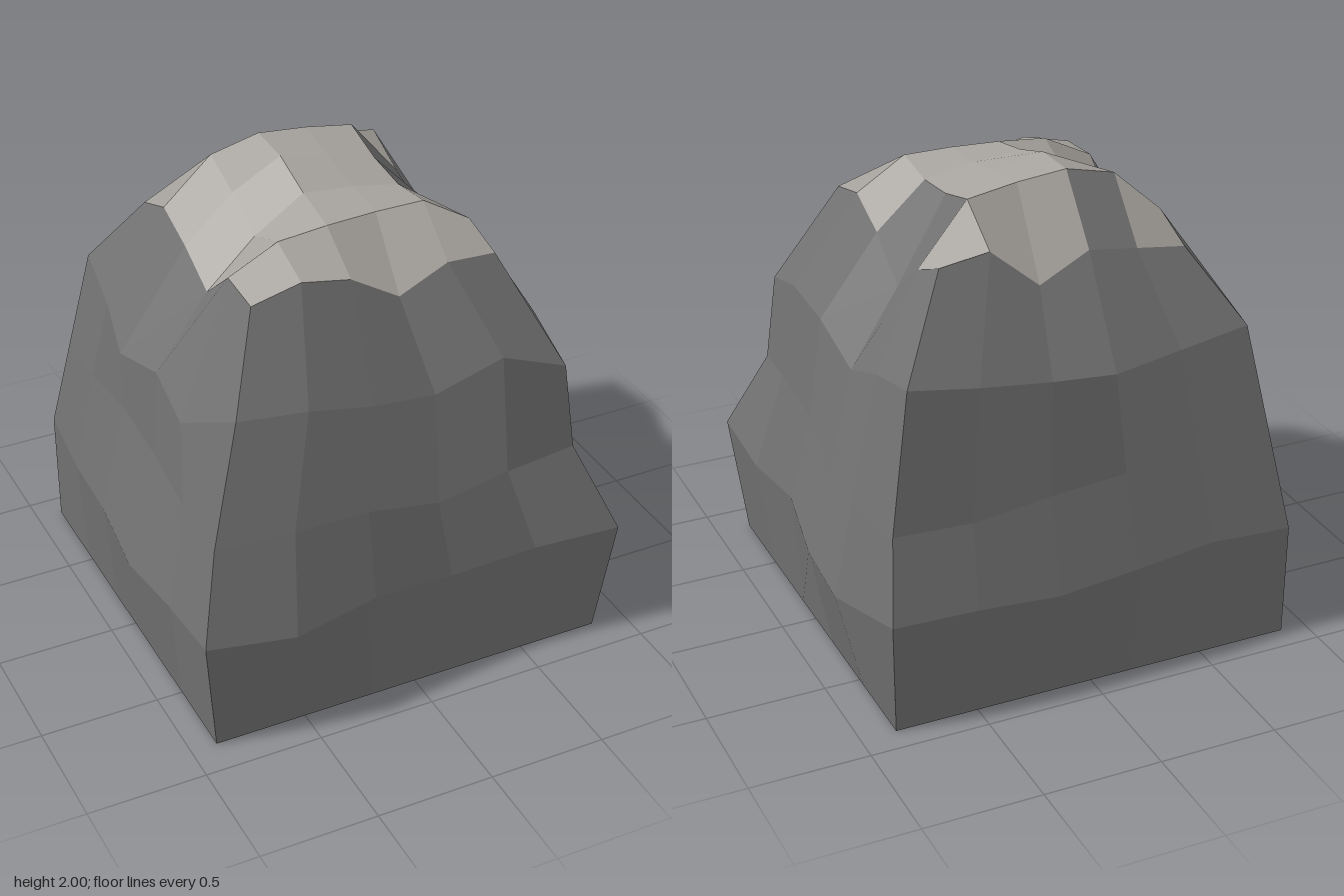
import * as THREE from 'three';

const SEG = 5;

// Each ring lists its outward distances (six per side) and heights (five per side),
// going front, +x, back, -x, anticlockwise from above.
const RINGS = [
  {
    out: [Array(6).fill(0.85), Array(6).fill(0.85), Array(6).fill(0.89), Array(6).fill(0.89)],
    y: Array(4).fill([0, 0, 0, 0, 0]),
  },
  {
    out: [[0.89, 0.935, 0.88, 0.83, 0.86, 0.9], [0.91, 0.905, 0.88, 0.94, 0.965, 0.87],
      [0.93, 0.945, 0.94, 0.93, 0.9, 0.9], [0.89, 0.92, 0.94, 0.97, 0.94, 0.94]],
    y: [[0.52, 0.49, 0.52, 0.47, 0.51], [0.52, 0.48, 0.51, 0.46, 0.46],
      [0.5, 0.5, 0.47, 0.5, 0.52], [0.5, 0.48, 0.5, 0.46, 0.48]],
  },
  {
    out: [[0.79, 0.83, 0.82, 0.8, 0.78, 0.75], [0.76, 0.8, 0.8, 0.84, 0.87, 0.83],
      [0.85, 0.86, 0.86, 0.85, 0.83, 0.82], [0.82, 0.84, 0.83, 0.83, 0.84, 0.85]],
    y: [[0.9, 0.91, 0.9, 0.83, 0.87], [0.88, 0.94, 0.9, 0.82, 0.86],
      [0.85, 0.84, 0.88, 0.9, 0.9], [0.92, 0.95, 0.98, 0.95, 0.9]],
  },
  {
    out: [[0.68, 0.72, 0.7, 0.68, 0.71, 0.72], [0.72, 0.74, 0.74, 0.73, 0.74, 0.74],
      [0.8, 0.8, 0.815, 0.77, 0.74, 0.74], [0.74, 0.77, 0.83, 0.79, 0.81, 0.7]],
    y: [[1.38, 1.37, 1.3, 1.26, 1.37], [1.26, 1.35, 1.33, 1.24, 1.36],
      [1.43, 1.38, 1.35, 1.3, 1.33], [1.38, 1.3, 1.24, 1.3, 1.24]],
  },
];

// Heights of the crown grid: rows from back to front, columns from -x to +x.
const CROWN = [
  [1.68, 1.71, 1.74, 1.63, 1.81, 1.78],
  [1.76, 1.95, 2.0, 1.98, 1.945, 1.69],
  [1.69, 1.88, 1.995, 1.95, 1.89, 1.53],
  [1.59, 1.79, 1.93, 1.91, 1.87, 1.68],
  [1.765, 1.87, 1.89, 1.9, 1.9, 1.77],
  [1.75, 1.8, 1.76, 1.63, 1.73, 1.72],
];
const crownPoint = (row, col) => [-0.55 + col * 0.21, CROWN[row][col], -0.55 + row * 0.21];

// Crown cells of bare dark stone, as row and column
const BARE_CELLS = ['0,1', '1,4', '2,4'];

// Turns one ring description into twenty points.
function ringPoints({ out, y }) {
  const points = [];
  for (let side = 0; side < 4; side++) {
    const start = -out[(side + 3) % 4][SEG];
    const end = out[(side + 1) % 4][0];
    for (let i = 0; i < SEG; i++) {
      const a = start + (end - start) * i / SEG;
      const d = out[side][i];
      const h = y[side][i];
      points.push([[a, h, d], [d, h, -a], [-a, h, -d], [-d, h, a]][side]);
    }
  }
  return points;
}

// Crown border in the same order as the rings.
function crownBorder() {
  const points = [];
  for (let side = 0; side < 4; side++) {
    for (let i = 0; i < SEG; i++) {
      const [row, col] = [[SEG, i], [SEG - i, SEG], [0, SEG - i], [i, 0]][side];
      points.push(crownPoint(row, col));
    }
  }
  return points;
}

// Each quad is one facet: both of its triangles share the normal across the diagonals.
function meshFromQuads(name, quads, material) {
  const positions = [];
  const normals = [];
  for (const quad of quads) {
    const [a, b, c, d] = quad.map((p) => new THREE.Vector3(...p));
    const normal = c.clone().sub(a).cross(d.clone().sub(b)).normalize();
    for (const p of [a, b, c, a, c, d]) {
      positions.push(...p.toArray());
      normals.push(...normal.toArray());
    }
  }
  const geometry = new THREE.BufferGeometry();
  geometry.setAttribute('position', new THREE.Float32BufferAttribute(positions, 3));
  geometry.setAttribute('normal', new THREE.Float32BufferAttribute(normals, 3));
  const mesh = new THREE.Mesh(geometry, material);
  mesh.name = name;
  return mesh;
}

export function createModel() {
  const stone = (name, color) => Object.assign(
    new THREE.MeshStandardMaterial({ color, side: THREE.DoubleSide }), { name });
  const darkStone = stone('dark stone', 0x737272);
  const paleStone = stone('pale stone', 0xa8a49f);

  // Rock sides, open underneath
  const rings = [...RINGS.map(ringPoints), crownBorder()];
  const sides = [];
  for (let r = 0; r < rings.length - 1; r++) {
    const [low, high] = [rings[r], rings[r + 1]];
    low.forEach((p, i) => {
      const next = (i + 1) % low.length;
      sides.push([p, low[next], high[next], high[i]]);
    });
  }

  // Crown cells, pale except for the steep bare ones
  const crown = [];
  const bare = [];
  for (let row = 0; row < SEG; row++) {
    for (let col = 0; col < SEG; col++) {
      (BARE_CELLS.includes(`${row},${col}`) ? bare : crown).push([
        crownPoint(row, col), crownPoint(row + 1, col),
        crownPoint(row + 1, col + 1), crownPoint(row, col + 1),
      ]);
    }
  }

  const rock = new THREE.Group();
  rock.name = 'rock';
  rock.add(
    meshFromQuads('rockSides', sides, darkStone),
    meshFromQuads('bareCrownCells', bare, darkStone),
    meshFromQuads('rockCrown', crown, paleStone),
  );
  return rock;
}
